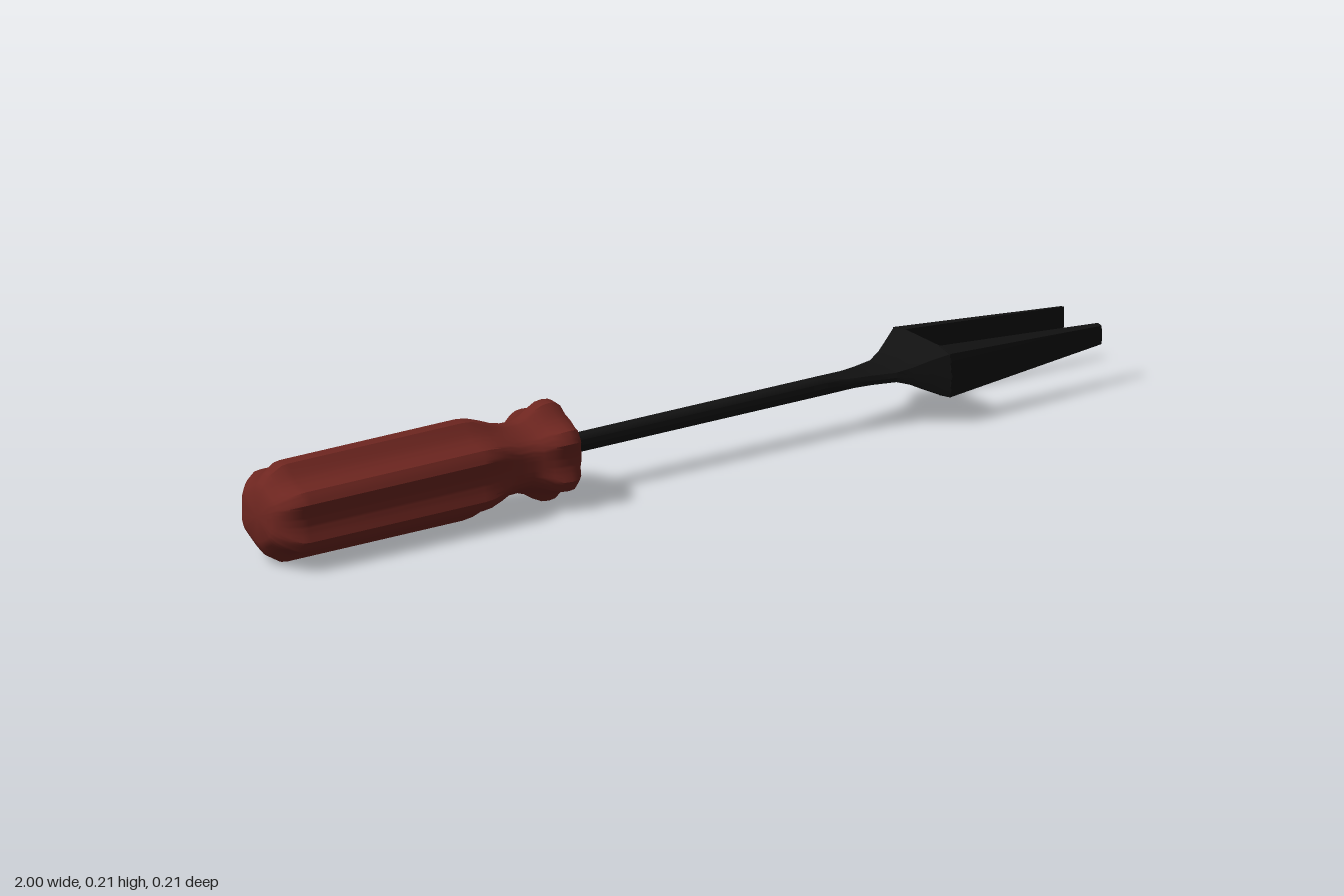
import * as THREE from 'three';
import { toCreasedNormals } from 'three/addons/utils/BufferGeometryUtils.js';

const AXIS_Y = 0.104;

// Skin closed rings of [x, y, z] points (turning from +y to +z, ordered along +x) and cap both ends.
function loft(rings, crease) {
  const n = rings[0].length;
  const pos = rings.flat(2);
  const index = [];
  for (let i = 0; i < rings.length - 1; i++) {
    for (let j = 0; j < n; j++) {
      const k = (j + 1) % n;
      const a = i * n + j, d = i * n + k, b = a + n, c = d + n;
      index.push(a, d, c, a, c, b);
    }
  }
  [0, rings.length - 1].forEach((r, end) => {
    const centre = pos.length / 3;
    for (let axis = 0; axis < 3; axis++) {
      pos.push(rings[r].reduce((s, p) => s + p[axis], 0) / n);
    }
    for (let j = 0; j < n; j++) {
      const a = r * n + j, b = r * n + ((j + 1) % n);
      if (end) index.push(centre, a, b);
      else index.push(centre, b, a);
    }
  });
  const g = new THREE.BufferGeometry();
  g.setAttribute('position', new THREE.Float32BufferAttribute(pos, 3));
  g.setIndex(index);
  return toCreasedNormals(g, crease);
}

// Six-lobed grip ring: rounded ridges with concave flutes between them.
function gripRing([x, radius, depth]) {
  const ring = [];
  const segments = 96;
  for (let i = 0; i < segments; i++) {
    const a = (i / segments) * Math.PI * 2;
    const phase = (a / (Math.PI / 3)) % 1;
    const t = Math.min(phase, 1 - phase) * 2;
    const u = Math.max(0, (t - 0.25) / 0.75);
    const r = radius * (1 - depth * (1 - (1 - u) ** 2));
    ring.push([x, r * Math.cos(a), r * Math.sin(a)]);
  }
  return ring;
}

// Neck ring: blends from a round rod (k = 0) to a broad flat section (k = 1).
function neckRing([x, halfY, halfZ, k]) {
  const round = [[1, 0], [0.866, 0.5], [0.5, 0.866], [0, 1]];
  const flat = [[1, 0], [1, 0.6], [0.88, 0.95], [0, 1]];
  const q = round.map(([y, z], i) => [
    THREE.MathUtils.lerp(y, flat[i][0], k) * halfY,
    THREE.MathUtils.lerp(z, flat[i][1], k) * halfZ,
  ]);
  const half = [...q, [-q[2][0], q[2][1]], [-q[1][0], q[1][1]]];
  return [...half, ...half.map(([y, z]) => [-y, -z])].map(([y, z]) => [x, y, z]);
}

// Prong ring: flat inner face, slightly crowned outer face; side is +1 or -1 in z.
function prongRing(x, halfY, inner, outer, side) {
  const edge = outer - (outer - inner) * 0.12;
  const ring = [
    [x, halfY, inner], [x, halfY * 0.88, edge], [x, 0, outer],
    [x, -halfY * 0.88, edge], [x, -halfY, inner],
  ].map(([px, y, z]) => [px, y, z * side]);
  return side > 0 ? ring : ring.reverse();
}

export function createModel() {
  const model = new THREE.Group();
  const red = new THREE.MeshStandardMaterial({ color: 0x6e2620 });
  const black = new THREE.MeshStandardMaterial({ color: 0x111111 });
  const add = (name, geometry, material) => {
    const mesh = new THREE.Mesh(geometry, material);
    mesh.name = name;
    mesh.position.y = AXIS_Y;
    model.add(mesh);
  };

  // Fluted handle: [x, ridge radius, flute depth]
  const handle = [
    [-1, 0.052, 0.04], [-0.992, 0.068, 0.07], [-0.975, 0.087, 0.12], [-0.95, 0.102, 0.155],
    [-0.935, 0.104, 0.16], [-0.51, 0.104, 0.16], [-0.485, 0.101, 0.15], [-0.455, 0.091, 0.12],
    [-0.43, 0.081, 0.08], [-0.405, 0.075, 0.05], [-0.375, 0.074, 0.05], [-0.355, 0.081, 0.07],
    [-0.335, 0.094, 0.12], [-0.318, 0.102, 0.15], [-0.3, 0.104, 0.16], [-0.285, 0.102, 0.15],
    [-0.272, 0.092, 0.12], [-0.269, 0.075, 0], [-0.263, 0.073, 0],
  ];
  add('handle', loft(handle.map(gripRing), 0.6), red);

  // Round shaft flowing into the flared neck: [x, half height, half width, flatness]
  const shaft = [
    [-0.28, 0.02, 0.02, 0], [0.37, 0.02, 0.02, 0], [0.42, 0.017, 0.026, 0.3],
    [0.47, 0.0135, 0.035, 0.6], [0.52, 0.012, 0.049, 0.85], [0.55, 0.021, 0.063, 1],
    [0.58, 0.036, 0.081, 1], [0.615, 0.052, 0.104, 1],
  ];
  add('shaftAndNeck', loft(shaft.map(neckRing), 0.55), black);

  // Two tapering prongs either side of the open slot
  for (const [name, side] of [['frontProng', 1], ['backProng', -1]]) {
    const rings = [
      prongRing(0.613, 0.052, 0.06, 0.104, side),
      prongRing(1, 0.022, 0.059, 0.073, side),
    ];
    add(name, loft(rings, 0.3), black);
  }
  return model;
}
